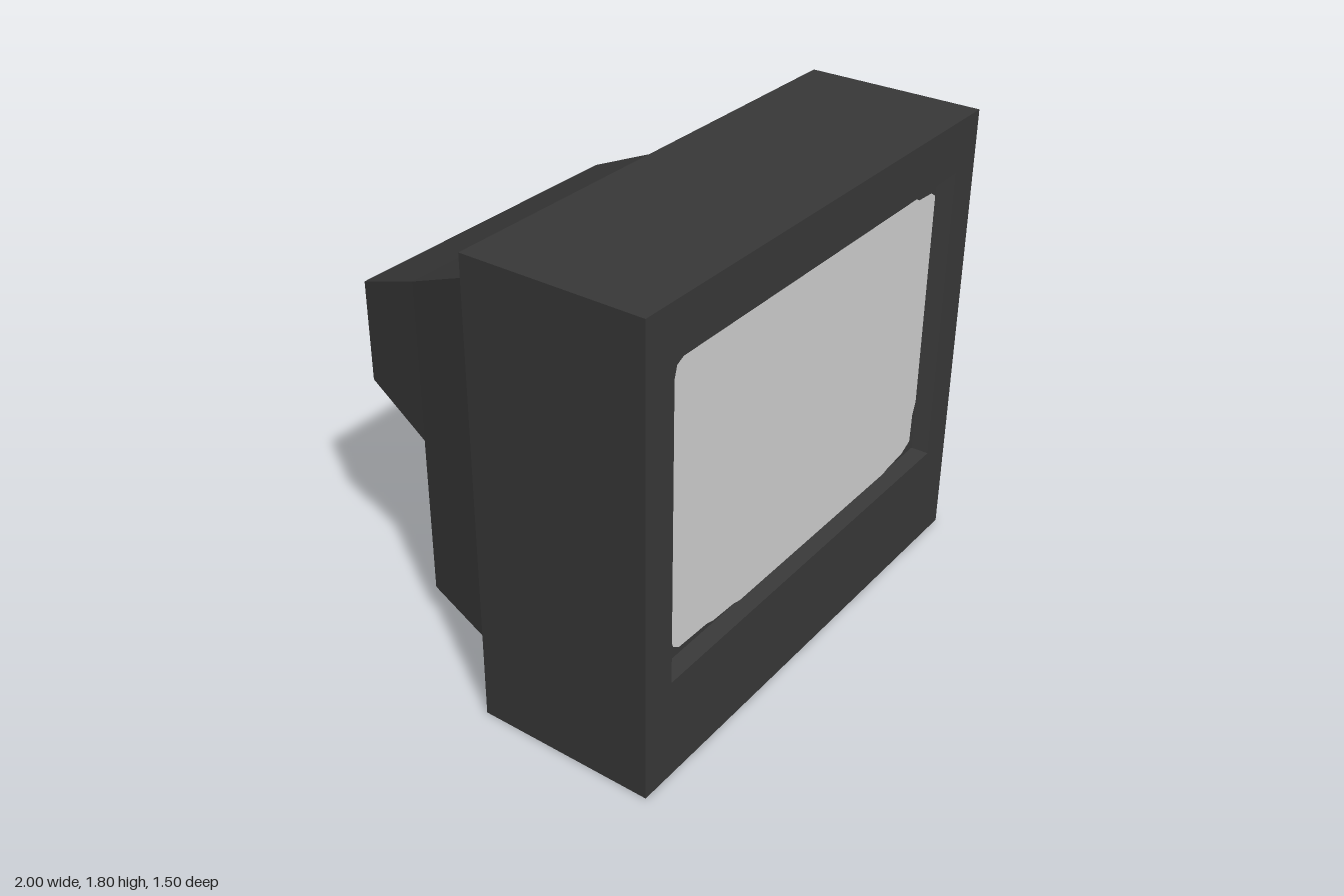
import * as THREE from 'three';

const caseMaterial = new THREE.MeshStandardMaterial({ color: 0x373737 });
caseMaterial.name = 'charcoal plastic';
const glassMaterial = new THREE.MeshStandardMaterial({ color: 0xcdcdcd });
glassMaterial.name = 'pale grey glass';

// Skins rectangular rings [z, halfWidth, bottom, top], listed from back to front
function loft(name, rings, frontCap) {
  const corners = rings.map(([z, w, y0, y1]) => [[-w, y0, z], [w, y0, z], [w, y1, z], [-w, y1, z]]);
  const positions = [];
  const quad = (a, b, c, d) => positions.push(...a, ...b, ...c, ...a, ...c, ...d);
  for (let r = 0; r < corners.length - 1; r++) {
    const a = corners[r], b = corners[r + 1];
    for (let i = 0; i < 4; i++) {
      const j = (i + 1) % 4;
      quad(a[i], a[j], b[j], b[i]);
    }
  }
  const back = corners[0];
  quad(back[3], back[2], back[1], back[0]);
  if (frontCap) quad(...corners[corners.length - 1]);
  const geometry = new THREE.BufferGeometry();
  geometry.setAttribute('position', new THREE.Float32BufferAttribute(positions, 3));
  geometry.computeVertexNormals();
  const mesh = new THREE.Mesh(geometry, caseMaterial);
  mesh.name = name;
  return mesh;
}

export function createModel() {
  const model = new THREE.Group();
  model.name = 'monitor';

  // Front case: box sides, bezel face, sloping recess and its floor
  model.add(loft('frontCase', [
    [0.05, 1, 0, 1.8],
    [0.75, 1, 0, 1.8],
    [0.75, 0.86, 0.4, 1.6],
    [0.70, 0.815, 0.43, 1.575],
  ], true));

  // Tapered rear housing and the tube cover behind its upper half
  model.add(loft('rearHousing', [[-0.45, 0.715, 0.15, 1.435], [0.05, 0.84, 0.08, 1.66]], false));
  model.add(loft('tubeCover', [[-0.75, 0.655, 0.92, 1.32], [-0.45, 0.715, 0.8, 1.435]], false));

  // Screen with worn, uneven corners
  const outline = [
    [-0.805, 0.52], [-0.79, 0.48], [-0.76, 0.46], [-0.6, 0.455], [-0.56, 0.445], [-0.44, 0.44], [-0.4, 0.431],
    [0.58, 0.431], [0.62, 0.44], [0.72, 0.45], [0.78, 0.48], [0.785, 0.6], [0.803, 0.65],
    [0.803, 1.52], [0.77, 1.54], [0.68, 1.545], [0.65, 1.562],
    [-0.74, 1.562], [-0.785, 1.54], [-0.805, 1.47],
  ].map(([x, y]) => new THREE.Vector2(x, y));
  const screen = new THREE.Mesh(new THREE.ShapeGeometry(new THREE.Shape(outline)), glassMaterial);
  screen.name = 'screen';
  screen.position.z = 0.705;
  model.add(screen);

  return model;
}
